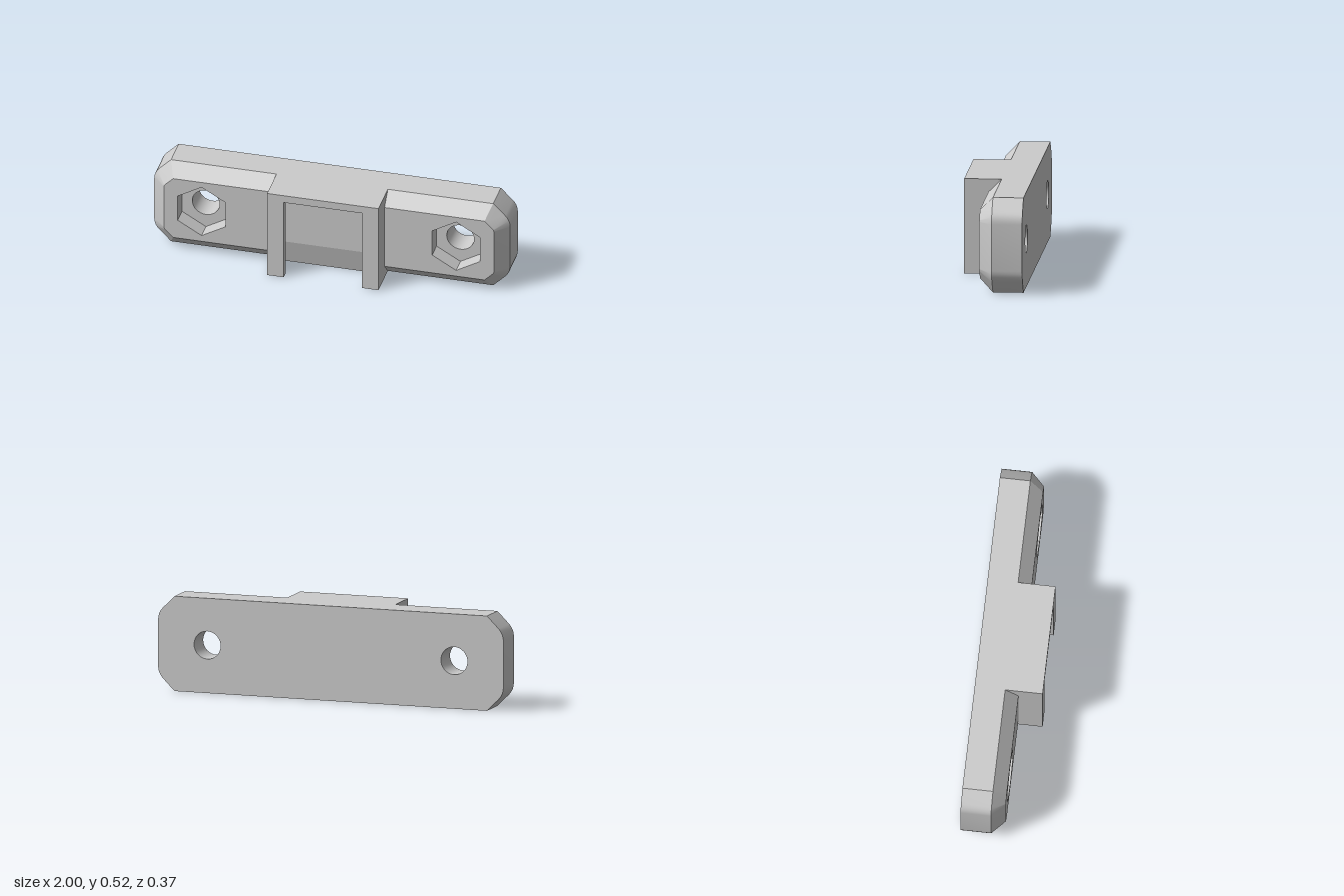
import * as THREE from 'three';
import { mergeGeometries, toCreasedNormals } from 'three/addons/utils/BufferGeometryUtils.js';

const H = 0.524, BACK = -0.185, EDGE = -0.018, FACE = 0.055, FRONT = 0.187;
const BLOCK = 0.313, SLOT_TOP = 0.48, CHAMFER = 0.073, SEAT = -0.04;
const V = (x, y) => new THREE.Vector2(x, y);

// Right half of the plate outline, counter-clockwise from the bottom
function halfOutline(x0, inset) {
  const r = 0.095 - inset, cx = 0.905, cy = 0.134;
  const flat = cx - inset * Math.tan(Math.PI / 8);
  const pts = [V(x0, inset), V(flat, inset)];
  for (let i = 0; i <= 4; i++) {
    const a = -Math.PI / 4 + i * Math.PI / 16;
    pts.push(V(cx + r * Math.cos(a), cy + r * Math.sin(a)));
  }
  return pts.concat(pts.map(p => V(p.x, H - p.y)).reverse());
}

const mirror = pts => pts.map(p => V(-p.x, p.y)).reverse();

function ring(cx, r, n) {
  return Array.from({ length: n }, (_, i) => {
    const a = Math.PI / 2 + i * 2 * Math.PI / n;
    return V(cx + r * Math.cos(a), 0.265 + r * Math.sin(a));
  });
}

// Strip of quads between two matching outlines at two depths
function wall(a, za, b, zb, closed = false) {
  const pos = [], n = a.length;
  for (let i = 0; i < (closed ? n : n - 1); i++) {
    const j = (i + 1) % n;
    const p = [a[i].x, a[i].y, za], q = [a[j].x, a[j].y, za];
    const r = [b[j].x, b[j].y, zb], s = [b[i].x, b[i].y, zb];
    pos.push(...p, ...q, ...r, ...p, ...r, ...s);
  }
  return new THREE.BufferGeometry().setAttribute('position', new THREE.Float32BufferAttribute(pos, 3));
}

// Flat face with holes, looking along +z
function cap(pts, holes, z) {
  const shape = new THREE.Shape(pts);
  shape.holes = holes.map(h => new THREE.Path(h));
  const g = new THREE.ShapeGeometry(shape).toNonIndexed();
  g.deleteAttribute('uv');
  g.deleteAttribute('normal');
  return g.translate(0, 0, z);
}

function extrude(pts, depth) {
  return new THREE.ExtrudeGeometry(new THREE.Shape(pts), { depth, bevelEnabled: false });
}

export function createModel() {
  const group = new THREE.Group();
  const material = new THREE.MeshStandardMaterial({ color: 0xcccccc });
  const add = (name, geometry, z = 0) => {
    const mesh = new THREE.Mesh(geometry, material);
    mesh.name = name;
    mesh.position.z = z;
    group.add(mesh);
    return mesh;
  };

  // Plate: back face, rim, chamfered wings, bolt holes with hexagonal nut seats
  const rim = halfOutline(0, 0);
  const holes = [-0.715, 0.715].map(x => ring(x, 0.077, 32));
  const back = cap([...rim, ...mirror(rim)], holes, 0).rotateY(Math.PI).translate(0, 0, BACK);
  const parts = [back];
  for (const side of [1, -1]) {
    const flip = pts => (side > 0 ? pts : mirror(pts));
    const outer = flip(halfOutline(BLOCK, 0)), inner = flip(halfOutline(BLOCK, CHAMFER));
    const hole = ring(side * 0.715, 0.077, 32), hex = ring(side * 0.715, 0.155, 6);
    const holeIn = [...hole].reverse(), hexIn = [...hex].reverse();
    parts.push(
      wall(flip(rim), BACK, flip(rim), EDGE),
      wall(outer, EDGE, inner, FACE),
      cap(inner, [hex], FACE),
      wall(hexIn, SEAT, hexIn, FACE, true),
      cap(hex, [hole], SEAT),
      wall(holeIn, BACK, holeIn, SEAT, true),
    );
  }
  add('plate', toCreasedNormals(mergeGeometries(parts), 0.35));

  // Centre block: wide slot behind a narrower front lip, open at the bottom
  const arch = w => [
    V(-BLOCK, 0), V(-w, 0), V(-w, SLOT_TOP), V(w, SLOT_TOP),
    V(w, 0), V(BLOCK, 0), V(BLOCK, H), V(-BLOCK, H),
  ];
  const lipBack = FRONT - 0.035;
  add('slotBody', extrude(arch(0.27), lipBack - EDGE), EDGE);
  add('slotLip', extrude(arch(0.22), FRONT - lipBack), lipBack);

  // Slot floor with a lead-in ramp at the bottom; profile is (-z, y)
  const profile = [V(-EDGE, 0), V(-EDGE, SLOT_TOP), V(-FACE, SLOT_TOP), V(-FACE, 0.145), V(-0.02, 0)];
  add('slotFloor', extrude(profile, 0.54).translate(0, 0, -0.27).rotateY(Math.PI / 2));

  return group;
}
